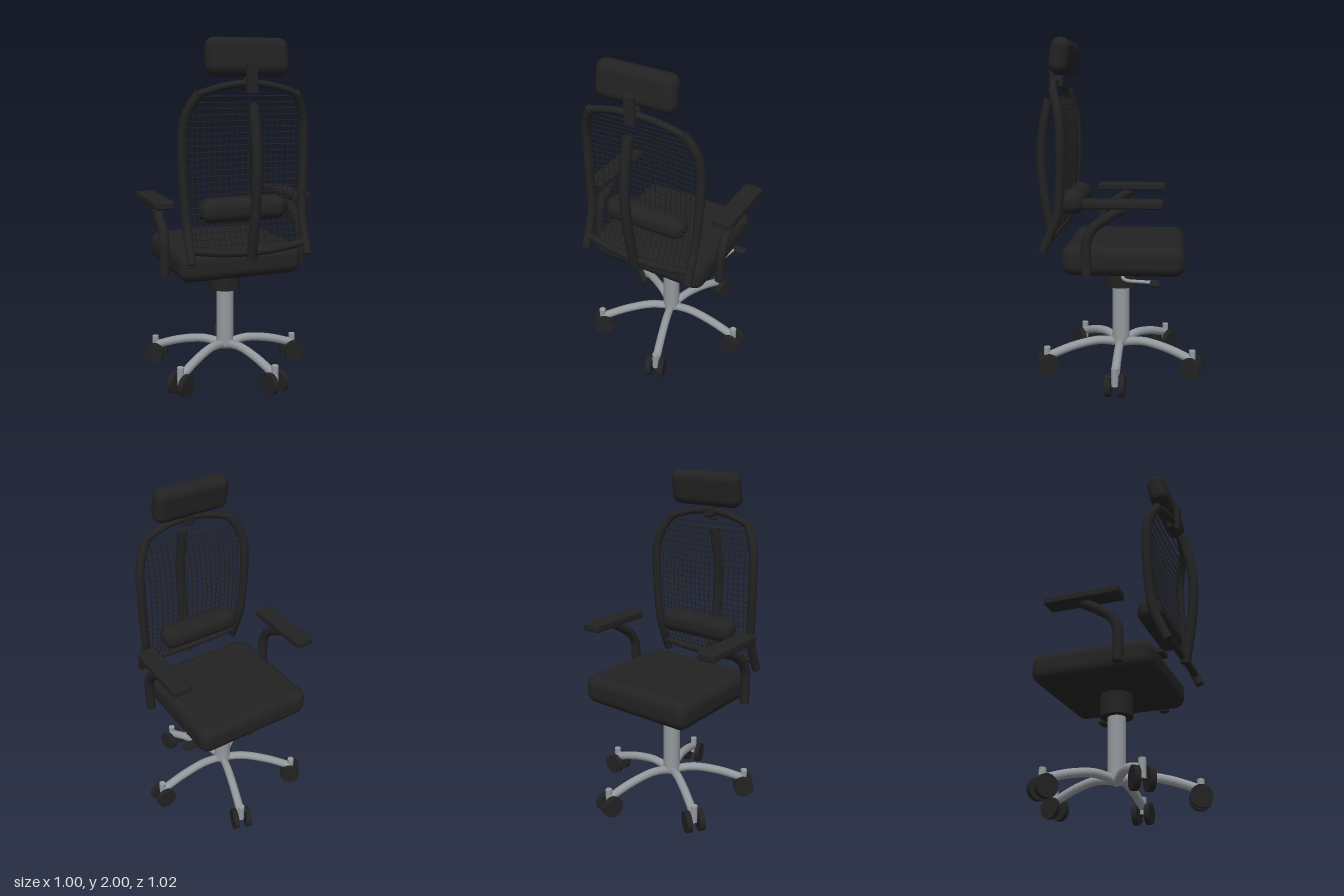
import * as THREE from 'three';
import { mergeGeometries } from 'three/addons/utils/BufferGeometryUtils.js';
import { RoundedBoxGeometry } from 'three/addons/geometries/RoundedBoxGeometry.js';

const black = new THREE.MeshStandardMaterial({ color: 0x222222 });
black.name = 'black';
const metal = new THREE.MeshStandardMaterial({ color: 0x94999d });
metal.name = 'brushed metal';

const V = (x, y, z) => new THREE.Vector3(x, y, z);
const curveOf = (pts) => new THREE.CatmullRomCurve3(pts.map((p) => V(...p)));

// Tube along points, closed by flat discs at both ends
function tubeGeometry(pts, radius, segments = 24, sides = 10) {
  const curve = curveOf(pts);
  const parts = [new THREE.TubeGeometry(curve, segments, radius, sides)];
  for (const t of [0, 1]) {
    const dir = curve.getTangentAt(t).multiplyScalar(t ? 1 : -1);
    const cap = new THREE.CircleGeometry(radius, sides);
    cap.applyQuaternion(new THREE.Quaternion().setFromUnitVectors(V(0, 0, 1), dir));
    const p = curve.getPointAt(t);
    parts.push(cap.translate(p.x, p.y, p.z));
  }
  return mergeGeometries(parts);
}

export function createModel() {
  const model = new THREE.Group();
  model.name = 'officeChair';
  const chair = new THREE.Group();
  chair.name = 'chair';
  chair.position.x = -0.02;
  model.add(chair);

  function add(name, geometry, material, pos = [0, 0, 0], parent = chair) {
    const mesh = new THREE.Mesh(geometry, material);
    mesh.name = name;
    mesh.position.set(...pos);
    parent.add(mesh);
    return mesh;
  }
  const pad = (w, h, d, r) => new RoundedBoxGeometry(w, h, d, 5, r);

  // Seat, lift column and mechanism housing
  add('seat', pad(0.745, 0.175, 0.705, 0.065), black, [0, 0.745, -0.033]);
  add('mechanismHousing', new THREE.CylinderGeometry(0.096, 0.096, 0.15, 32), black, [0, 0.6, 0]);
  add('liftColumn', new THREE.CylinderGeometry(0.052, 0.052, 0.4, 28), metal, [0, 0.36, 0]);

  // Height lever
  add('leverRod', tubeGeometry([[0.08, 0.63, -0.03], [0.25, 0.63, -0.03], [0.31, 0.63, -0.06],
    [0.33, 0.63, -0.14], [0.34, 0.63, -0.2]], 0.01), metal);
  add('leverHandle', pad(0.09, 0.027, 0.055, 0.012), black, [0.365, 0.628, -0.217]);

  // Five-legged base with twin-wheel casters
  for (let i = 0; i < 5; i++) {
    const arm = new THREE.Group();
    arm.name = 'baseArm' + (i + 1);
    arm.rotation.y = (i * Math.PI * 2) / 5;
    chair.add(arm);
    add('baseLeg', tubeGeometry([[0, 0.155, 0], [0.06, 0.172, 0], [0.15, 0.182, 0],
      [0.3, 0.158, 0], [0.455, 0.108, 0]], 0.026), metal, [0, 0, 0], arm);
    add('casterStem', new THREE.CylinderGeometry(0.02, 0.02, 0.105, 16), metal, [0.46, 0.113, 0], arm);
    for (const s of [-1, 1]) {
      const wheel = new THREE.CylinderGeometry(0.063, 0.063, 0.032, 24).rotateX(Math.PI / 2);
      add('casterWheel', wheel, black, [0.457, 0.063, s * 0.039], arm);
    }
    add('casterAxle', new THREE.CylinderGeometry(0.012, 0.012, 0.07, 10).rotateX(Math.PI / 2),
      black, [0.457, 0.063, 0], arm);
  }

  // Armrests
  for (const s of [-1, 1]) {
    const side = s > 0 ? 'left' : 'right';
    add(side + 'ArmPad', pad(0.115, 0.047, 0.44, 0.012), black, [s * 0.423, 1.086, -0.04]);
    add(side + 'ArmSupport', tubeGeometry([[s * 0.423, 0.68, 0.16], [s * 0.423, 0.78, 0.162],
      [s * 0.423, 0.88, 0.157], [s * 0.423, 0.95, 0.12], [s * 0.423, 1.0, 0.055],
      [s * 0.423, 1.06, -0.045]], 0.029, 32), black);
  }

  // Backrest frame: side posts, top bar, bottom bar
  const post = [[0.345, 0.8, 0.415], [0.345, 0.9, 0.373], [0.346, 1.01, 0.333], [0.356, 1.2, 0.315],
    [0.36, 1.4, 0.31], [0.355, 1.53, 0.315], [0.33, 1.62, 0.332], [0.28, 1.705, 0.36]];
  for (const s of [-1, 1]) {
    add(s > 0 ? 'leftBackPost' : 'rightBackPost',
      tubeGeometry(post.map(([x, y, z]) => [s * x, y, z]), 0.026, 40), black);
  }
  add('backTopBar', tubeGeometry([[-0.285, 1.7, 0.36], [-0.15, 1.74, 0.376], [0, 1.757, 0.383],
    [0.15, 1.74, 0.376], [0.285, 1.7, 0.36]], 0.02), black);
  add('backBottomBar', tubeGeometry([[-0.345, 0.868, 0.387], [-0.18, 0.846, 0.4], [0, 0.838, 0.405],
    [0.18, 0.846, 0.4], [0.345, 0.868, 0.387]], 0.021), black);
  add('backSpine', tubeGeometry([[0, 0.8, 0.415], [0, 1.0, 0.455], [0, 1.2, 0.481], [0, 1.34, 0.485],
    [0, 1.48, 0.468], [0, 1.65, 0.432]], 0.029, 32), black);

  // Mesh backing: a net stretched over the frame, bowed gently forward
  const samples = curveOf(post).getPoints(120);
  const frameAt = (y) => {
    const i = Math.max(1, samples.findIndex((p) => p.y >= y));
    const a = samples[i - 1], b = samples[i];
    return a.clone().lerp(b, (y - a.y) / (b.y - a.y));
  };
  const netPoint = (x, y) => {
    const f = frameAt(y);
    const bow = 0.032 * Math.sin((Math.PI * (y - 0.86)) / 0.84) * (1 - (x / f.x) ** 2);
    return [x, y, f.z - bow];
  };
  const steps = 12, pitch = 0.0335, wires = [];
  const wire = (pts) => wires.push(new THREE.TubeGeometry(curveOf(pts), steps, 0.0032, 4));
  const fractions = Array.from({ length: steps + 1 }, (_, i) => i / steps);
  for (let row = 0; row < 25; row++) {
    const y = 0.885 + row * pitch;
    if (y > 1.695) break;
    const w = frameAt(y).x;
    wire(fractions.map((t) => netPoint((2 * t - 1) * w, y)));
  }
  for (let col = -10; col <= 10; col++) {
    const x = col * pitch;
    let top = 1.665;
    while (frameAt(top).x < Math.abs(x)) top -= 0.01;
    wire(fractions.map((t) => netPoint(x, 0.875 + t * (top - 0.875))));
  }
  add('backNet', mergeGeometries(wires), black);

  // Lumbar cushion
  add('lumbarCushion', pad(0.512, 0.137, 0.15, 0.06), black, [0, 1.062, 0.275]);

  // Headrest and its bracket
  add('headrest', pad(0.472, 0.205, 0.112, 0.052), black, [0, 1.894, 0.335]).rotation.x = -0.16;
  add('headrestBracket', pad(0.06, 0.17, 0.03, 0.006), black, [0, 1.785, 0.407]);
  add('headrestLink', pad(0.06, 0.07, 0.07, 0.015), black, [0, 1.755, 0.375]);

  return model;
}
